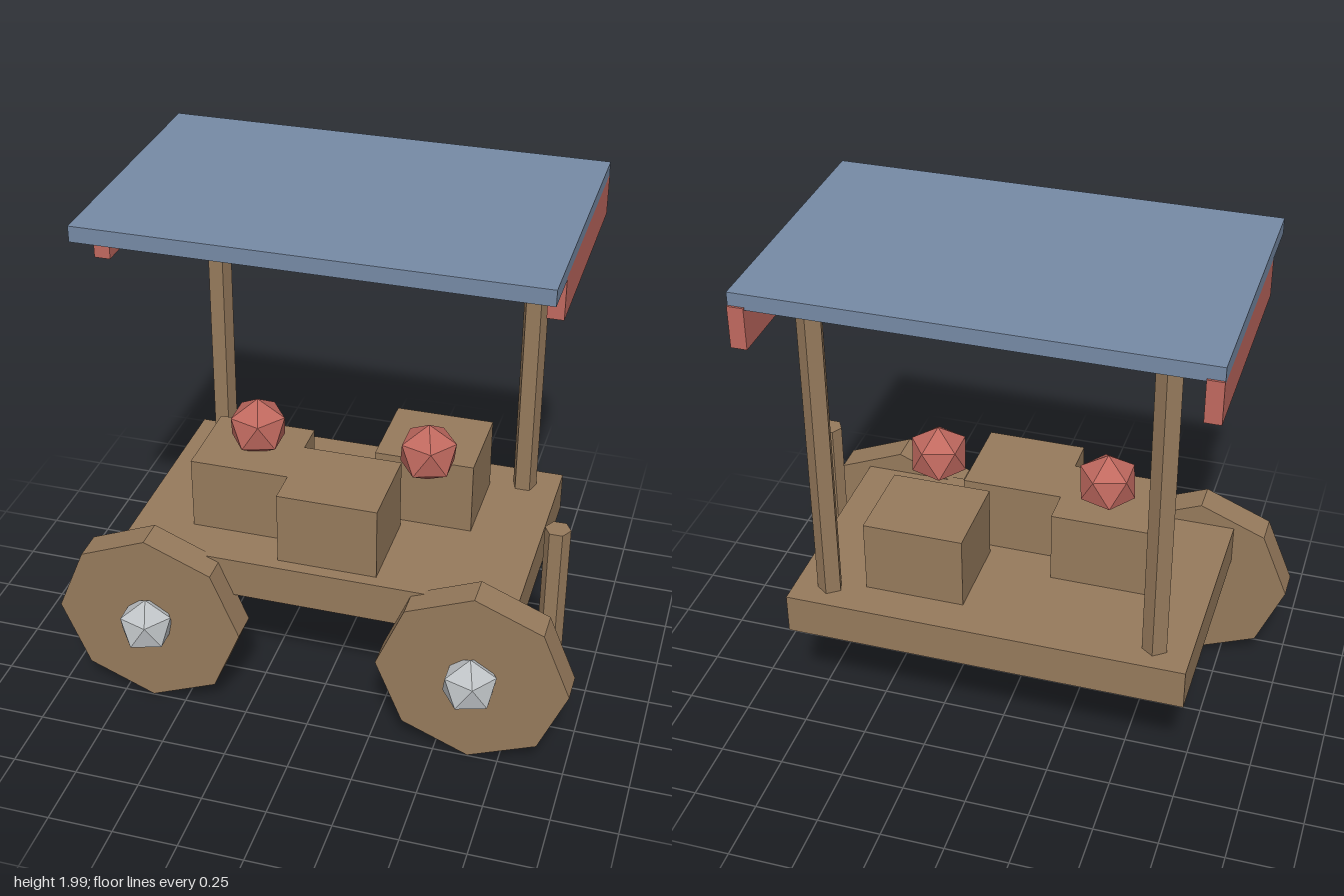
import * as THREE from 'three';

const paint = (name, color) => {
  const m = new THREE.MeshStandardMaterial({ color, flatShading: true });
  m.name = name;
  return m;
};

export function createModel() {
  const group = new THREE.Group();
  const wood = paint('wood', 0x967a5c);
  const blue = paint('slate blue', 0x768aa5);
  const red = paint('faded red', 0xc0695f);
  const metal = paint('pale metal', 0xbfc3c6);

  const add = (name, geometry, material, x, y, z) => {
    const mesh = new THREE.Mesh(geometry, material);
    mesh.name = name;
    mesh.position.set(x, y, z);
    group.add(mesh);
  };
  // Box given by its limits on each axis
  const box = (name, material, [x0, x1], [y0, y1], [z0, z1]) =>
    add(name, new THREE.BoxGeometry(x1 - x0, y1 - y0, z1 - z0), material,
      (x0 + x1) / 2, (y0 + y1) / 2, (z0 + z1) / 2);
  // Icosahedron standing on one corner
  const gem = (name, material, r, x, y, z) =>
    add(name, new THREE.IcosahedronGeometry(r, 0).rotateZ(-Math.atan(2 / (1 + Math.sqrt(5)))),
      material, x, y, z);

  // Deck and crates
  box('deck', wood, [-0.77, 0.77], [0.49, 0.65], [-0.53, 0.4]);
  box('rightCrate', wood, [-0.54, -0.155], [0.65, 0.94], [-0.13, 0.215]);
  box('middleCrate', wood, [-0.155, 0.23], [0.65, 0.94], [0, 0.35]);
  box('leftCrate', wood, [0.115, 0.5], [0.65, 0.94], [-0.385, -0.04]);

  // Fruit
  gem('rightFruit', red, 0.12, -0.33, 1.025, 0.03);
  gem('leftFruit', red, 0.12, 0.34, 1.025, 0.03);

  // Canopy
  box('roof', blue, [-0.845, 0.845], [1.93, 1.99], [-0.605, 0.46]);

  for (const [side, s] of [['left', 1], ['right', -1]]) {
    // Five-sided roof post
    add(side + 'Post', new THREE.CylinderGeometry(0.049, 0.049, 1.29, 5).rotateY(Math.PI),
      wood, s * 0.633, 1.29, -0.419);
    // Hanging side trim
    const edges = [s * 0.785, s * 0.845].sort((a, b) => a - b);
    box(side + 'Trim', red, edges, [1.78, 1.94], [-0.613, 0.265]);
    // Eight-sided wheel and its hub
    add(side + 'Wheel', new THREE.CylinderGeometry(0.366, 0.366, 0.12, 8).rotateX(Math.PI / 2),
      wood, s * 0.634, 0.37, 0.437);
    gem(side + 'Hub', metal, 0.112, s * 0.634, 0.37, 0.52);
  }

  // Six-sided upright handle beside the deck
  add('handle', new THREE.CylinderGeometry(0.048, 0.048, 0.735, 6).rotateY(Math.PI / 2),
    wood, 0.875, 0.5525, 0.235);

  return group;
}
